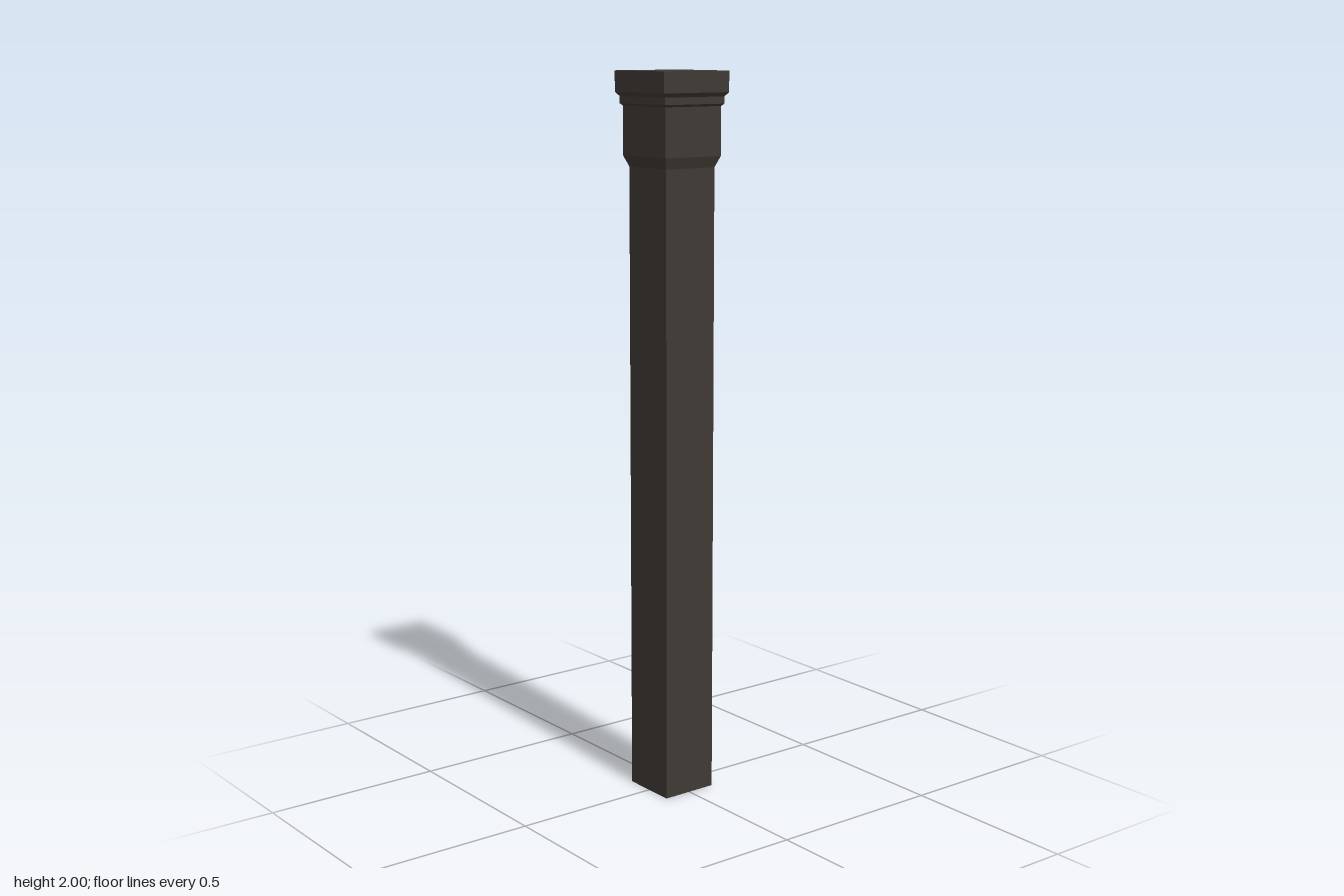
import * as THREE from 'three';

const darkBronze = new THREE.MeshStandardMaterial({ color: 0x403a34, side: THREE.DoubleSide });
darkBronze.name = 'darkBronze';

// Square moulding swept from a profile of [half width, height], bottom to top
function squareSweep(name, profile) {
  const points = profile.map(([half, y]) => new THREE.Vector2(half * Math.SQRT2, y));
  const geometry = new THREE.LatheGeometry(points, 4, Math.PI / 4).toNonIndexed();
  geometry.computeVertexNormals();
  const mesh = new THREE.Mesh(geometry, darkBronze);
  mesh.name = name;
  return mesh;
}

export function createModel() {
  const post = new THREE.Group();
  post.name = 'post';

  // Hollow shaft, open at the foot
  post.add(squareSweep('shaft', [[0.081, 0], [0.081, 1.747]]));

  // Flared collar around the head of the shaft
  post.add(squareSweep('collar', [[0.081, 1.747], [0.093, 1.777], [0.093, 1.908]]));

  // Narrow stepped band under the cap
  post.add(squareSweep('band', [[0.093, 1.908], [0.099, 1.914], [0.099, 1.933]]));

  // Overhanging cap with its underside chamfer
  post.add(squareSweep('cap', [[0.099, 1.933], [0.108, 1.944], [0.108, 2]]));

  // Flat lid
  const lidGeometry = new THREE.PlaneGeometry(0.216, 0.216).rotateX(-Math.PI / 2);
  const lid = new THREE.Mesh(lidGeometry, darkBronze);
  lid.name = 'lid';
  lid.position.y = 2;
  post.add(lid);

  return post;
}
